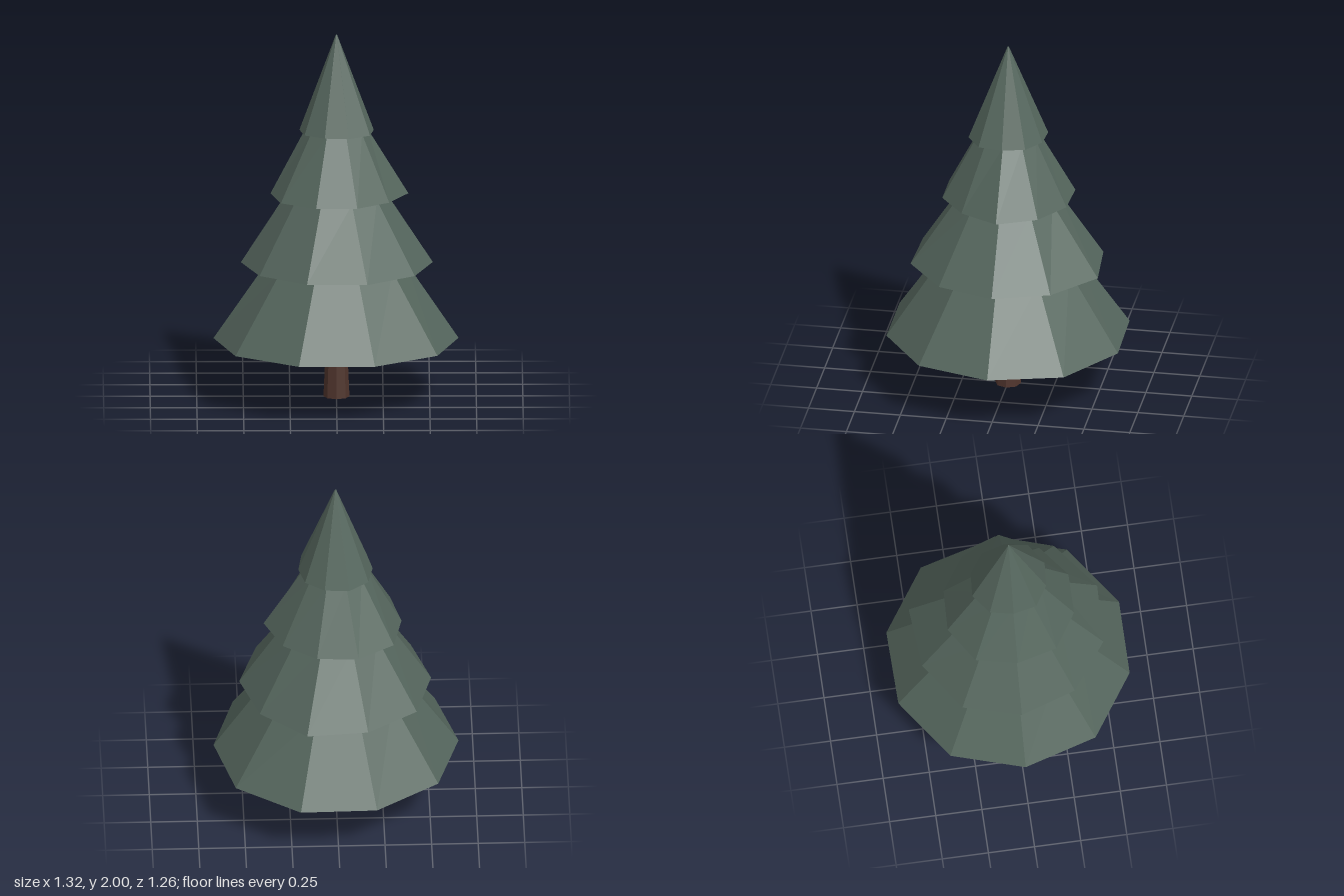
import * as THREE from 'three';

const SIDES = 10;

// One foliage tier: a ten-sided frustum whose rim corners have their own radii
function makeTier(rimY, rim, topY, topRadius, material, name) {
  const height = topY - rimY;
  const geometry = new THREE.CylinderGeometry(topRadius, 1, height, SIDES, 1, false, Math.PI / 2);
  const p = geometry.attributes.position;
  for (let i = 0; i < p.count; i++) {
    const x = p.getX(i), z = p.getZ(i);
    if (p.getY(i) > 0 || Math.hypot(x, z) < 0.5) continue;
    // corner number, counted from +x towards +z
    const corner = (Math.round(Math.atan2(z, x) / (2 * Math.PI / SIDES)) + SIDES) % SIDES;
    p.setX(i, x * rim[corner]);
    p.setZ(i, z * rim[corner]);
  }
  geometry.translate(0, rimY + height / 2, 0);
  const mesh = new THREE.Mesh(geometry, material);
  mesh.name = name;
  return mesh;
}

export function createModel() {
  const needles = new THREE.MeshStandardMaterial({ color: 0x55665d, flatShading: true });
  needles.name = 'needle green';
  const bark = new THREE.MeshStandardMaterial({ color: 0x50352d, flatShading: true });
  bark.name = 'bark brown';

  const tree = new THREE.Group();
  tree.name = 'pineTree';

  // Tapered eight-sided trunk
  const trunk = new THREE.Mesh(new THREE.CylinderGeometry(0.055, 0.07, 0.33, 8), bark);
  trunk.name = 'trunk';
  trunk.position.y = 0.165;
  tree.add(trunk);

  // Foliage tiers from the bottom up: [name, rim height, top height, top radius, rim radii]
  const tiers = [
    ['bottomTier', 0.322, 0.745, 0.37,
      [0.655, 0.667, 0.66, 0.66, 0.672, 0.66, 0.666, 0.658, 0.666, 0.677]],
    ['lowerTier', 0.742, 1.125, 0.267,
      [0.517, 0.518, 0.529, 0.517, 0.512, 0.513, 0.527, 0.516, 0.544, 0.515]],
    ['upperTier', 1.123, 1.477, 0.169,
      [0.386, 0.349, 0.357, 0.357, 0.37, 0.354, 0.378, 0.364, 0.354, 0.359]],
    ['topTier', 1.475, 2, 0.004,
      [0.2, 0.222, 0.215, 0.205, 0.213, 0.199, 0.214, 0.217, 0.207, 0.207]],
  ];
  for (const [name, rimY, topY, topRadius, rim] of tiers) {
    tree.add(makeTier(rimY, rim, topY, topRadius, needles, name));
  }
  return tree;
}
